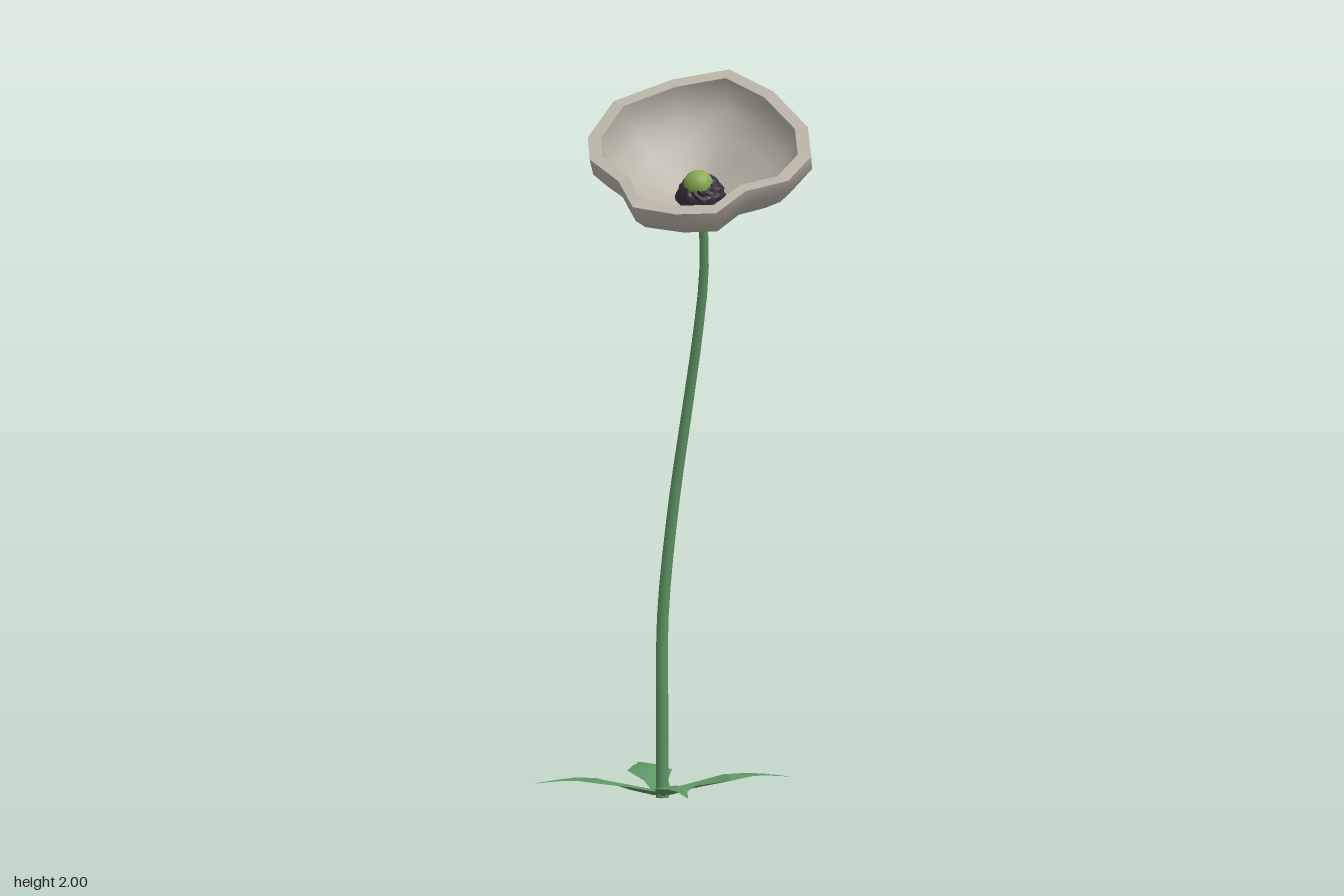
import * as THREE from 'three';

const V = (x, y, z) => new THREE.Vector3(x, y, z);

const material = (name, color, side = THREE.FrontSide) => {
  const m = new THREE.MeshStandardMaterial({ color, side });
  m.name = name;
  return m;
};

// Skin between cross-sections that each have the same number of points
function loft(rings, closed, flat) {
  const n = rings[0].length;
  const index = [];
  for (let i = 0; i < rings.length - 1; i++) {
    for (let j = 0; j < (closed ? n : n - 1); j++) {
      const k = (j + 1) % n;
      const a = i * n + j, b = i * n + k, d = a + n, c = b + n;
      index.push(a, d, b, b, d, c);
    }
  }
  let geo = new THREE.BufferGeometry().setFromPoints(rings.flat());
  geo.setIndex(index);
  if (flat) geo = geo.toNonIndexed();
  geo.computeVertexNormals();
  return geo;
}

export function createModel() {
  const model = new THREE.Group();
  model.name = 'flower';
  const green = material('stem green', 0x5f9565, THREE.DoubleSide);
  const petal = material('petal grey', 0xb8b2a6);
  const dark = material('stamen purple', 0x382f3b);
  const lime = material('pistil green', 0x86a84e);
  const add = (name, geo, mat, parent = model) => {
    const mesh = new THREE.Mesh(geo, mat);
    mesh.name = name;
    parent.add(mesh);
    return mesh;
  };

  // Curved stem, thinner towards the top
  const path = new THREE.CatmullRomCurve3([
    V(-0.08, 0, -0.085), V(-0.08, 0.25, -0.083), V(-0.077, 0.5, -0.078),
    V(-0.045, 0.8, -0.068), V(0, 1.08, -0.05), V(0.035, 1.28, -0.025),
    V(0.06, 1.46, 0), V(0.066, 1.64, 0.034)
  ]);
  const rows = 20, sides = 8;
  const stem = new THREE.TubeGeometry(path, rows, 0.018, sides);
  const pos = stem.attributes.position, p = V();
  for (let i = 0; i < pos.count; i++) {
    const t = Math.floor(i / (sides + 1)) / rows;
    p.fromBufferAttribute(pos, i).lerp(path.getPointAt(t), 0.3 * t);
    pos.setXYZ(i, p.x, p.y, p.z);
  }
  add('stem', stem, green);

  // Four pointed leaves: distance, half width, edge height, midrib height
  const leafRows = [
    [0, 0.012, 0.012, 0.004], [0.026, 0.028, 0.02, 0.007], [0.092, 0.033, 0.034, 0.024],
    [0.182, 0.062, 0.05, 0.058], [0.24, 0.034, 0.056, 0.06],
    [0.278, 0.015, 0.055, 0.058], [0.362, 0, 0.047, 0.047]
  ];
  const leafGeo = loft(leafRows.map(([d, w, e, m]) => [V(-w, e, d), V(0, m, d), V(w, e, d)]), false, true);
  const leaves = new THREE.Group();
  leaves.name = 'leaves';
  leaves.position.set(-0.08, 0, -0.085);
  for (let i = 0; i < 4; i++) add('leaf', leafGeo, green, leaves).rotation.y = 0.457 + i * Math.PI / 2;
  model.add(leaves);

  // Petal cup: wavy rim, tilted forward
  const axis = V(0, 0.86, 0.51).normalize();
  const base = V(0.065, 1.632, 0.03);
  const floor = base.clone().addScaledVector(axis, 0.025);
  const centre = V(0.085, 1.84, 0.145);
  const rim = [
    V(0.095, 2, -0.134), V(0.24, 1.955, -0.058), V(0.365, 1.875, 0.043), V(0.4, 1.81, 0.14),
    V(0.363, 1.755, 0.24), V(0.257, 1.73, 0.294), V(0.2, 1.68, 0.39), V(0.088, 1.675, 0.404),
    V(-0.032, 1.69, 0.402), V(-0.1, 1.745, 0.3), V(-0.194, 1.795, 0.253), V(-0.227, 1.84, 0.149),
    V(-0.186, 1.925, 0.032), V(-0.05, 1.975, -0.075)
  ];
  const innerRim = rim.map(q => centre.clone().lerp(q, 0.88));
  // Ring at a share of the rim's radius and depth, measured from the cup's foot
  const ring = (edge, foot, radius, depth) => edge.map(q => {
    const d = q.clone().sub(foot);
    const h = d.dot(axis);
    d.addScaledVector(axis, -h).multiplyScalar(radius);
    return d.addScaledVector(axis, h * depth).add(foot);
  });
  const profile = [[0.02, 0], [0.35, 0.165], [0.69, 0.4], [0.87, 0.59], [0.99, 0.79], [1, 1]];
  const outside = profile.map(([r, h]) => ring(rim, base, r, h));
  const inside = profile.map(([r, h]) => ring(innerRim, floor, r, h)).reverse();
  add('petalOutside', loft(outside, true, false), petal);
  add('petalRim', loft([rim, innerRim], true, true), petal);
  add('petalInside', loft(inside, true, false), petal);

  // Ragged stamen dome and round pistil, set along the cup's axis
  const heart = new THREE.Group();
  heart.name = 'flowerHeart';
  heart.position.copy(base);
  heart.quaternion.setFromUnitVectors(V(0, 1, 0), axis);
  const dome = new THREE.SphereGeometry(0.066, 28, 12, 0, Math.PI * 2, 0, Math.PI * 0.58);
  const dp = dome.attributes.position;
  for (let i = 0; i < dp.count; i++) {
    p.fromBufferAttribute(dp, i);
    p.multiplyScalar(1 + 0.07 * Math.sin(p.x * 310 + p.y * 170) * Math.sin(p.z * 290 - p.y * 230));
    dp.setXYZ(i, p.x, p.y, p.z);
  }
  const domeFlat = dome.toNonIndexed();
  domeFlat.computeVertexNormals();
  add('stamens', domeFlat, dark, heart).position.y = 0.046;
  add('pistil', new THREE.SphereGeometry(0.041, 16, 12), lime, heart).position.y = 0.092;
  model.add(heart);

  return model;
}
